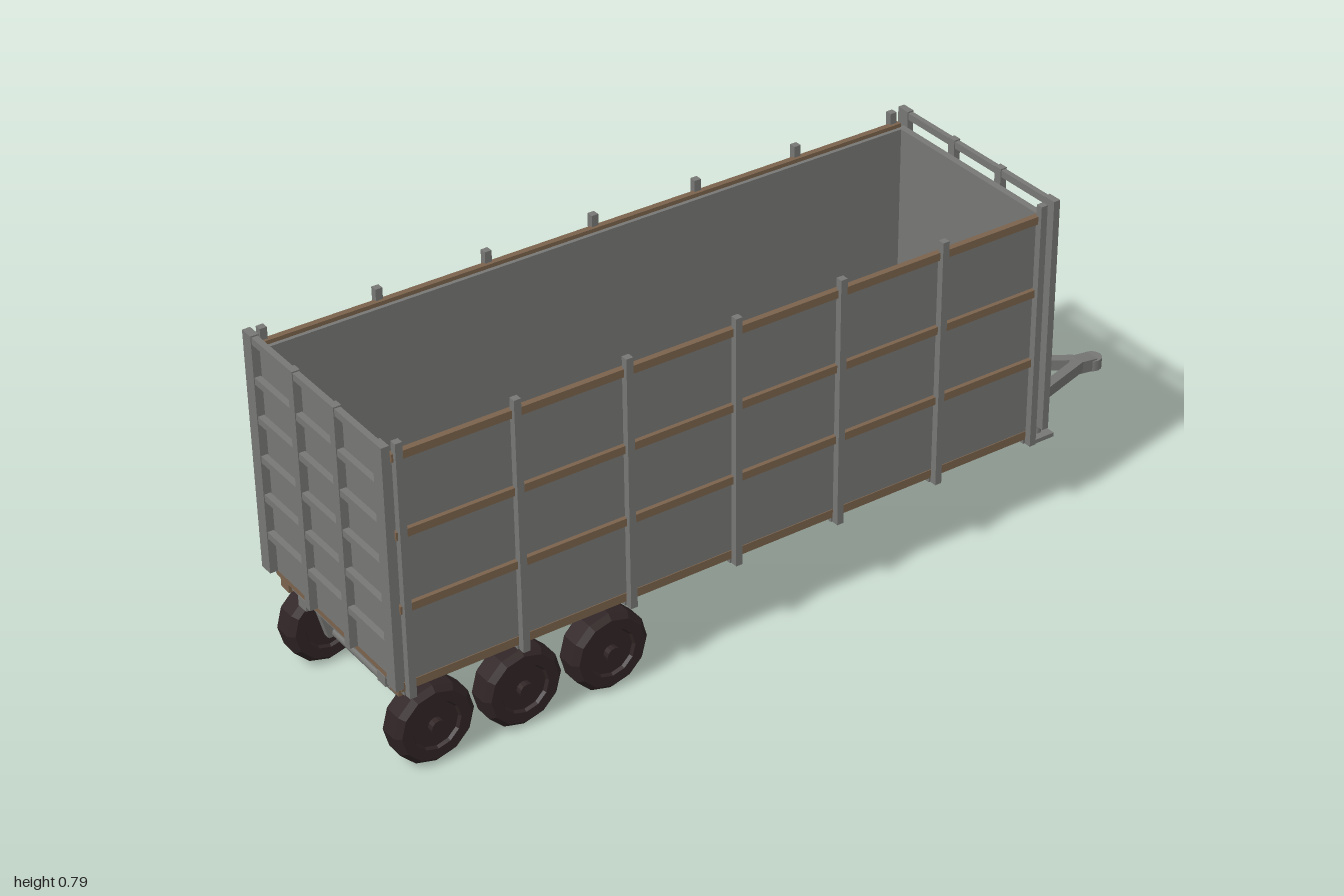
import * as THREE from 'three';

export function createModel() {
  const root = new THREE.Group();
  root.name = 'trailer';
  const mat = (name, color, flatShading = false) => {
    const m = new THREE.MeshStandardMaterial({ color, flatShading });
    m.name = name;
    return m;
  };
  const steel = mat('grey steel', 0x777775);
  const wood = mat('brown timber', 0x7b634c);
  const rubber = mat('dark rubber', 0x302425, true);

  const add = (name, geo, m, x = 0, y = 0, z = 0) => {
    const mesh = new THREE.Mesh(geo, m);
    mesh.name = name;
    mesh.position.set(x, y, z);
    root.add(mesh);
    return mesh;
  };
  // Box given by its extents on each axis
  const box = (name, m, x0, x1, y0, y1, z0, z1) =>
    add(name, new THREE.BoxGeometry(Math.abs(x1 - x0), y1 - y0, z1 - z0), m,
      (x0 + x1) / 2, (y0 + y1) / 2, (z0 + z1) / 2);
  // Square bar running between two points
  const beam = (name, a, b, w, h) => {
    const p = new THREE.Vector3(...a), q = new THREE.Vector3(...b);
    const mesh = add(name, new THREE.BoxGeometry(w, h, p.distanceTo(q)), steel);
    mesh.position.copy(p).lerp(q, 0.5);
    mesh.lookAt(q);
    return mesh;
  };
  const rod = (name, r, len, m, x, y, z, sides = 12) =>
    add(name, new THREE.CylinderGeometry(r, r, len, sides), m, x, y, z);

  // Timber floor
  box('floor', wood, -0.245, 0.245, 0.21, 0.23, -0.605, 0.975);

  // Side walls with timber rails, stake posts and cross members below
  const posts = [0.96, 0.7, 0.445, 0.187, -0.07, -0.328, -0.585];
  for (const s of [-1, 1]) {
    box('sidePanel', steel, s * 0.23, s * 0.243, 0.22, 0.75, -0.6, 0.97);
    for (const y of [0.405, 0.575, 0.75])
      box('sideRail', wood, s * 0.239, s * 0.253, y - 0.009, y + 0.009, -0.6, 0.972);
    for (const z of posts)
      box('sidePost', steel, s * 0.246, s * 0.262, 0.2, 0.785, z - 0.008, z + 0.008);
    // Chassis rail, corner blocks under the floor
    box('chassisRail', steel, s * 0.14, s * 0.17, 0.175, 0.2, -0.61, 0.97);
    box('cornerBlock', wood, s * 0.198, s * 0.23, 0.19, 0.21, 0.95, 0.975);
  }
  for (const z of posts)
    box('crossMember', steel, -0.24, 0.24, 0.196, 0.21, z - 0.008, z + 0.008);

  // End gates: solid panel with an outer grid of bars
  for (const [panelZ, inner, outer] of [[0.972, 0.98, 0.998], [-0.602, -0.61, -0.626]]) {
    box('gatePanel', steel, -0.242, 0.242, 0.23, 0.75, panelZ - 0.008, panelZ + 0.008);
    const z0 = Math.min(inner, outer), z1 = Math.max(inner, outer);
    for (const x of [-0.078, 0.078])
      box('gateStile', steel, x - 0.01, x + 0.01, 0.23, 0.787, z0, z1);
    for (const s of [-1, 1]) {
      box('gateCornerPost', steel, s * 0.229, s * 0.248, 0.23, 0.787, z0, z1);
      box('gateEdgePost', steel, s * 0.248, s * 0.262, 0.23, 0.787, z0, z1);
    }
    for (const y of [0.322, 0.412, 0.503, 0.595, 0.685, 0.776])
      box('gateBar', steel, -0.235, 0.235, y - 0.008, y + 0.008, z0 + 0.002, z1 - 0.002);
  }

  // Three axles with hangers and chunky faceted wheels
  const tyre = new THREE.LatheGeometry([
    [0, -0.026], [0.052, -0.026], [0.056, -0.033], [0.08, -0.033], [0.092, -0.021],
    [0.092, 0.021], [0.08, 0.033], [0.056, 0.033], [0.052, 0.026], [0, 0.026],
  ].map(([r, y]) => new THREE.Vector2(r, y)), 12).rotateZ(Math.PI / 2);
  const hanger = new THREE.Shape([[-0.045, 0.18], [0.045, 0.18], [0.02, 0.085], [-0.02, 0.085]]
    .map(([z, y]) => new THREE.Vector2(z, y)));
  const hangerGeo = new THREE.ExtrudeGeometry(hanger, { depth: 0.018, bevelEnabled: false })
    .translate(0, 0, -0.009).rotateY(Math.PI / 2);
  for (const z of [0.9, 0.695, 0.487]) {
    rod('axle', 0.012, 0.42, steel, 0, 0.094, z).rotation.z = Math.PI / 2;
    for (const s of [-1, 1]) {
      add('hanger', hangerGeo, steel, s * 0.155, 0, z);
      add('wheel', tyre, rubber, s * 0.209, 0.094, z);
      rod('hub', 0.017, 0.076, rubber, s * 0.212, 0.094, z).rotation.z = Math.PI / 2;
    }
  }

  // A-frame drawbar and coupler
  for (const s of [-1, 1])
    beam('drawbarArm', [s * 0.142, 0.19, -0.6], [s * 0.008, 0.152, -0.93], 0.024, 0.026);
  beam('coupler', [0, 0.152, -0.91], [0, 0.143, -0.975], 0.036, 0.03);
  rod('couplerSocket', 0.023, 0.026, steel, 0, 0.142, -0.977);

  // Support jack
  box('jackBracket', steel, -0.05, 0.05, 0.156, 0.168, -0.835, -0.81);
  rod('jackSleeve', 0.017, 0.06, steel, 0, 0.138, -0.822);
  rod('jackLeg', 0.011, 0.13, steel, 0, 0.07, -0.822);
  box('jackFoot', steel, -0.028, 0.028, 0.003, 0.013, -0.85, -0.794);
  return root;
}
